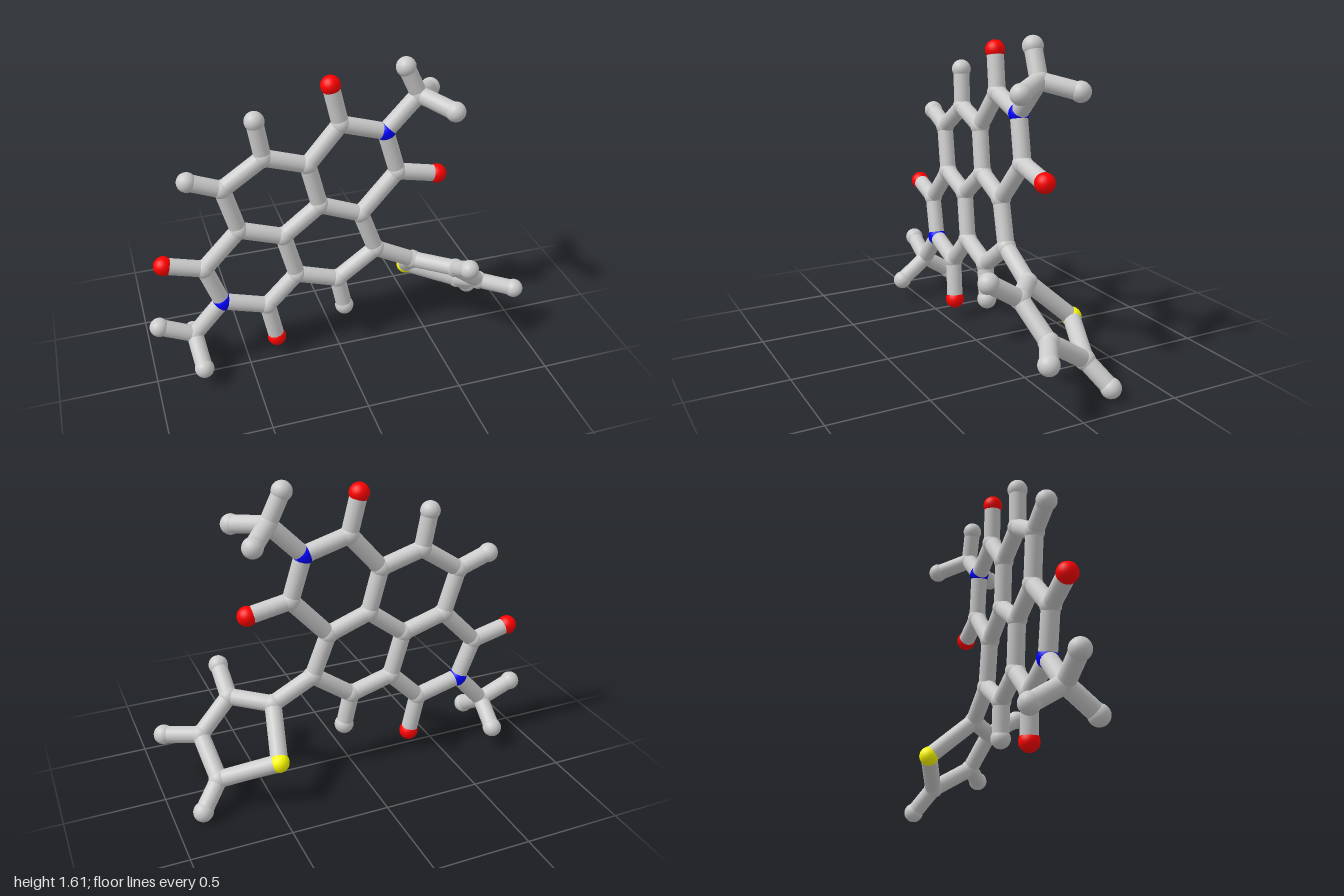
import * as THREE from 'three';

const ATOM_RADIUS = 0.05;
const BOND_RADIUS = 0.043;
const COLORS = { C: 0xcccccc, H: 0xcccccc, O: 0xff0000, N: 0x0000ff, S: 0xffff00 };
const NAMES = { C: 'carbonAtom', H: 'hydrogenAtom', O: 'oxygenAtom', N: 'nitrogenAtom', S: 'sulfurAtom' };

// The fused rings lie in one slightly tilted plane
const planeZ = (x, y) => -0.03 + 0.0285 * x - 0.053 * y;

// Key: first letter is the element. Two numbers = in the ring plane, three = free.
const ATOMS = {
  fusedRings: {
    C1: [0.035, 1.31], N1: [0.265, 1.24], C2: [0.33, 1.01], C3: [0.135, 0.795],
    C4: [-0.08, 0.88], C5: [-0.135, 1.115], C6: [-0.355, 1.185], C7: [-0.565, 1.045],
    C8: [-0.5, 0.805], C9: [-0.275, 0.73], C10: [-0.215, 0.49], C11: [0.005, 0.42],
    C12: [0.215, 0.57], C13: [-0.69, 0.61], N2: [-0.615, 0.395], C14: [-0.38, 0.325],
  },
  ringEnds: {
    O1: [-0.01, 1.515], O2: [0.545, 0.965], O3: [-0.89, 0.665], O4: [-0.34, 0.11],
    H6: [-0.385, 1.38], H7: [-0.73, 1.11], H11: [0.04, 0.24],
  },
  upperMethyl: {
    C15: [0.435, 1.415], H15a: [0.365, 1.565, -0.1],
    H15b: [0.56, 1.38, 0.075], H15c: [0.555, 1.37, -0.24],
  },
  lowerMethyl: {
    C16: [-0.775, 0.22], H16a: [-0.95, 0.3],
    H16b: [-0.76, 0.11, 0.092], H16c: [-0.765, 0.12, -0.215],
  },
  sideRing: {
    C17: [0.43, 0.455, -0.05], S1: [0.48, 0.255, -0.273], C18: [0.615, 0.46, 0.1],
    C19: [0.785, 0.305, 0.05], C20: [0.76, 0.165, -0.165],
    H18: [0.617, 0.562, 0.262], H19: [0.95, 0.287, 0.152], H20: [0.865, 0.052, -0.24],
  },
};

// Each chain is a run of atoms joined one after the other
const CHAINS = {
  fusedRings: ['C4 C5 C6 C7 C8 C9 C4', 'C4 C3 C12 C11 C10 C9', 'C5 C1 N1 C2 C3', 'C8 C13 N2 C14 C10'],
  ringEnds: ['C1 O1', 'C2 O2', 'C13 O3', 'C14 O4', 'C6 H6', 'C7 H7', 'C11 H11'],
  upperMethyl: ['N1 C15 H15a', 'C15 H15b', 'C15 H15c'],
  lowerMethyl: ['N2 C16 H16a', 'C16 H16b', 'C16 H16c'],
  sideRing: ['C12 C17 C18 C19 C20 S1 C17', 'C18 H18', 'C19 H19', 'C20 H20'],
};

export function createModel() {
  const model = new THREE.Group();
  model.name = 'molecule';

  const materials = {};
  for (const e in COLORS) materials[e] = new THREE.MeshStandardMaterial({ color: COLORS[e] });
  const sphere = new THREE.SphereGeometry(ATOM_RADIUS, 24, 16);
  const stick = new THREE.CylinderGeometry(BOND_RADIUS, BOND_RADIUS, 1, 20);
  const up = new THREE.Vector3(0, 1, 0);
  const position = {};

  // Stick of unit height stretched between two atoms
  function bond(a, b) {
    const dir = b.clone().sub(a);
    const mesh = new THREE.Mesh(stick, materials.C);
    mesh.name = 'bond';
    mesh.scale.y = dir.length();
    mesh.position.copy(a).add(b).multiplyScalar(0.5);
    mesh.quaternion.setFromUnitVectors(up, dir.normalize());
    return mesh;
  }

  for (const part in ATOMS) {
    const group = new THREE.Group();
    group.name = part;
    model.add(group);

    // Balls
    for (const [key, [x, y, z = planeZ(x, y)]] of Object.entries(ATOMS[part])) {
      position[key] = new THREE.Vector3(x, y, z);
      const ball = new THREE.Mesh(sphere, materials[key[0]]);
      ball.name = NAMES[key[0]];
      ball.position.copy(position[key]);
      group.add(ball);
    }

    // Sticks
    for (const chain of CHAINS[part]) {
      const keys = chain.split(' ');
      for (let i = 1; i < keys.length; i++) {
        group.add(bond(position[keys[i - 1]], position[keys[i]]));
      }
    }
  }
  return model;
}
